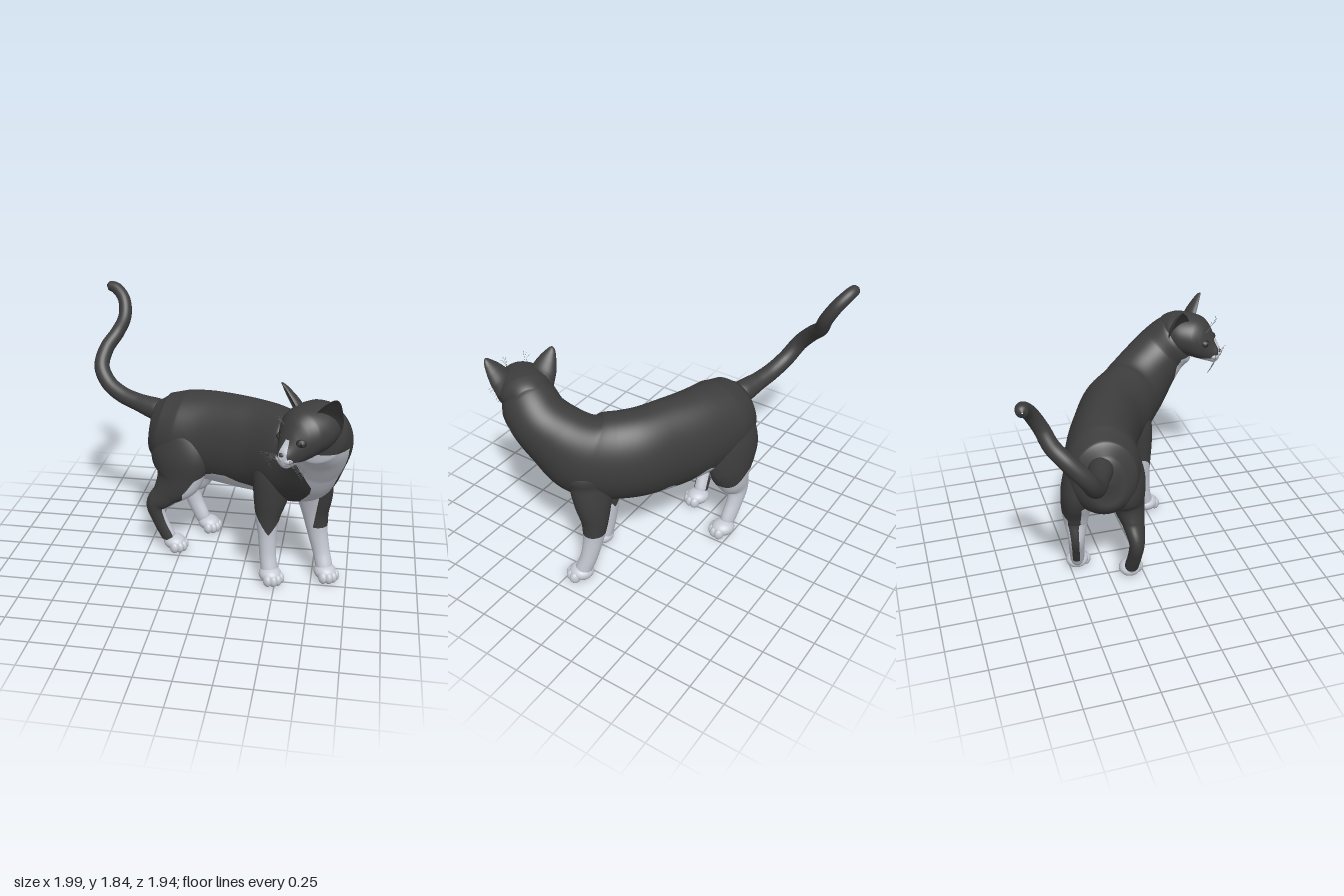
import * as THREE from 'three';

const V = (x, y, z) => new THREE.Vector3(x, y, z);
const mat = (name, color, side = THREE.FrontSide) =>
  Object.assign(new THREE.MeshStandardMaterial({ color, side }), { name });

// Linear interpolation in a list of [key, value] pairs
function lookup(table, k) {
  if (k <= table[0][0]) return table[0][1];
  for (let i = 1; i < table.length; i++) {
    const [a, va] = table[i - 1], [b, vb] = table[i];
    if (k <= b) return va + (vb - va) * (k - a) / (b - a);
  }
  return table[table.length - 1][1];
}

// Smooth skin through sections [x, y, z, halfWidth, halfDepth]; ref gives the depth direction.
// isWhite(point, normal) sorts the surface into two materials; fold < 1 cups the front side;
// axis keeps all sections parallel instead of following the path.
function loft(name, sections, ref, mats, { rows = 70, cols = 40, isWhite = () => false, fold = 1, axis } = {}) {
  const path = new THREE.CatmullRomCurve3(sections.map(s => V(s[0], s[1], s[2])));
  const size = new THREE.CatmullRomCurve3(sections.map(s => V(s[3], s[4], 0)));
  const pts = [], faces = [];
  for (let i = 0; i <= rows; i++) {
    const t = axis || path.getTangent(i / rows), c = path.getPoint(i / rows), r = size.getPoint(i / rows);
    const v = ref.clone().addScaledVector(t, -ref.dot(t)).normalize();
    const u = v.clone().cross(t);
    for (let j = 0; j < cols; j++) {
      const a = j / cols * Math.PI * 2, s = Math.sin(a);
      pts.push(c.clone().addScaledVector(u, Math.cos(a) * Math.max(r.x, 0.001))
        .addScaledVector(v, s * Math.max(r.y, 0.001) * (s > 0 ? fold : 1)));
      const k = (j + 1) % cols, p = i * cols + j, q = i * cols + k;
      if (i < rows) faces.push([p, q, p + cols], [q, q + cols, p + cols]);
    }
  }
  const g = new THREE.BufferGeometry().setFromPoints(pts).setIndex(faces.flat());
  g.computeVertexNormals();
  const normals = pts.map((p, i) => V(0, 0, 0).fromBufferAttribute(g.attributes.normal, i));
  const flags = pts.map((p, i) => isWhite(p, normals[i]));

  // Cut faces along the colour border so that it runs smoothly
  const cuts = new Map(), parts = [[], []];
  const cut = (a, b) => {
    const key = a < b ? `${a},${b}` : `${b},${a}`;
    if (!cuts.has(key)) {
      const at = (list, f) => list[a].clone().lerp(list[b], f);
      let lo = 0, hi = 1;
      for (let n = 0; n < 9; n++) {
        const mid = (lo + hi) / 2;
        if (isWhite(at(pts, mid), at(normals, mid)) === flags[a]) lo = mid; else hi = mid;
      }
      cuts.set(key, pts.push(at(pts, lo)) - 1);
      normals.push(at(normals, lo).normalize());
    }
    return cuts.get(key);
  };
  for (const f of faces) {
    const w = f.map(i => flags[i]), whites = w.filter(Boolean).length;
    if (whites % 3 === 0) { parts[whites ? 1 : 0].push(...f); continue; }
    const o = w.indexOf(whites === 1), [a, b, c] = [f[o], f[(o + 1) % 3], f[(o + 2) % 3]];
    const m = cut(a, b), n = cut(a, c);
    parts[flags[a] ? 1 : 0].push(a, m, n);
    parts[flags[a] ? 0 : 1].push(m, b, c, m, c, n);
  }
  const skin = new THREE.BufferGeometry().setFromPoints(pts).setIndex(parts.flat());
  skin.setAttribute('normal', new THREE.Float32BufferAttribute(normals.flatMap(n => n.toArray()), 3));
  skin.addGroup(0, parts[0].length, 0);
  skin.addGroup(parts[0].length, parts[1].length, 1);
  return Object.assign(new THREE.Mesh(skin, mats), { name });
}

function ball(name, material, [x, y, z], [sx, sy, sz], turn = 0) {
  const m = new THREE.Mesh(new THREE.SphereGeometry(1, 24, 16), material);
  m.name = name;
  m.position.set(x, y, z);
  m.scale.set(sx, sy, sz);
  m.rotation.y = turn;
  return m;
}

export function createModel() {
  const cat = new THREE.Group();
  cat.name = 'cat';
  const dark = mat('dark fur', 0x3d3d3d), white = mat('white fur', 0xc6cad4);
  const black = mat('pad black', 0x222222), iris = mat('iris', 0x3b3d37);
  const noseGrey = mat('nose grey', 0x4a4545), whiskerGrey = mat('whisker grey', 0x777777, THREE.DoubleSide);
  const fur = [dark, white];

  // Body and neck, with white belly, chest and throat
  const chestX = [[0.57, 0.62], [0.72, 0.67], [0.82, 0.73], [0.88, 0.74], [0.98, 0.69], [1.08, 0.63], [1.2, 0.6]];
  const chestZ = [[0.57, 0.18], [0.65, 0.24], [0.8, 0.35], [0.9, 0.41], [1, 0.45], [1.1, 0.51], [1.2, 0.57]];
  const belly = [[-0.35, 0.44], [-0.2, 0.54], [-0.13, 0.64], [0, 0.7], [0.1, 0.71], [0.2, 0.68], [0.4, 0.67], [0.6, 0.62]];
  const chest = p => p.y < 1.225 && p.x > lookup(chestX, p.y) && p.z > lookup(chestZ, p.y);
  cat.add(loft('body', [
    [-0.512, 0.95, -0.31, 0.005, 0.005], [-0.485, 0.947, -0.308, 0.13, 0.17], [-0.41, 0.93, -0.3, 0.22, 0.26],
    [-0.25, 0.905, -0.28, 0.265, 0.32], [-0.03, 0.905, -0.23, 0.25, 0.34], [0.2, 0.91, -0.14, 0.24, 0.345],
    [0.4, 0.92, -0.04, 0.24, 0.335], [0.56, 0.935, 0.1, 0.235, 0.325], [0.68, 0.99, 0.22, 0.225, 0.3],
    [0.76, 1.12, 0.36, 0.21, 0.24], [0.793, 1.235, 0.48, 0.202, 0.207], [0.77, 1.32, 0.575, 0.192, 0.2],
    [0.74, 1.37, 0.66, 0.13, 0.12], [0.72, 1.38, 0.7, 0.005, 0.005],
  ], V(0, 1, 0), fur, {
    rows: 150, cols: 80,
    isWhite: p => chest(p) || p.y < lookup(belly, p.x) + (p.z < -0.2 ? 0.035 * Math.sin(p.x * 22) - 0.02 : 0),
  }));

  // Tail
  cat.add(loft('tail', [
    [-0.4, 1.015, -0.32, 0.02], [-0.46, 1.035, -0.345, 0.085], [-0.54, 1.05, -0.37, 0.077], [-0.63, 1.068, -0.4, 0.066],
    [-0.75, 1.1, -0.44, 0.062], [-0.87, 1.17, -0.49, 0.06], [-0.938, 1.28, -0.55, 0.058], [-0.92, 1.4, -0.65, 0.056],
    [-0.855, 1.5, -0.74, 0.053], [-0.807, 1.61, -0.79, 0.05], [-0.825, 1.73, -0.855, 0.047], [-0.895, 1.8, -0.905, 0.044],
    [-0.95, 1.814, -0.918, 0.037], [-0.975, 1.816, -0.92, 0.004],
  ].map(s => [...s, s[3]]), V(0.7, 0, -0.7), fur, { rows: 90, cols: 24 }));

  // Legs
  const leg = (name, sections, isWhite) =>
    cat.add(loft(name, sections, V(0.93, 0, 0.36), fur, { isWhite }));
  leg('rightFrontLeg', [
    [0.53, 1.17, 0.12, 0.02, 0.03], [0.51, 1.07, 0.13, 0.08, 0.12], [0.485, 0.93, 0.15, 0.115, 0.16],
    [0.465, 0.8, 0.17, 0.12, 0.155],
    [0.445, 0.65, 0.19, 0.1, 0.125], [0.43, 0.5, 0.2, 0.075, 0.088], [0.432, 0.35, 0.205, 0.064, 0.066],
    [0.44, 0.2, 0.22, 0.058, 0.06], [0.455, 0.1, 0.24, 0.06, 0.06], [0.46, 0.04, 0.25, 0.03, 0.03],
  ], p => p.y < 0.38 + Math.abs(p.x - 0.445) * 1.5);
  leg('leftFrontLeg', [
    [0.63, 1.15, 0.15, 0.02, 0.03], [0.655, 1.06, 0.145, 0.09, 0.12], [0.69, 0.93, 0.14, 0.12, 0.16],
    [0.72, 0.8, 0.125, 0.12, 0.16],
    [0.745, 0.65, 0.1, 0.106, 0.135], [0.758, 0.5, 0.085, 0.088, 0.095], [0.78, 0.35, 0.09, 0.068, 0.073],
    [0.815, 0.2, 0.11, 0.058, 0.062], [0.84, 0.1, 0.14, 0.06, 0.06], [0.85, 0.04, 0.15, 0.03, 0.03],
  ], p => p.y < 0.415 || (p.y < 0.68 && p.x < 0.69 + 0.14 * p.y && p.z > 0.08) || (p.y > 0.64 && chest(p)));
  leg('rightHindLeg', [
    [-0.22, 1.13, -0.22, 0.02, 0.04], [-0.235, 1.04, -0.18, 0.09, 0.14], [-0.25, 0.92, -0.14, 0.125, 0.21],
    [-0.255, 0.78, -0.11, 0.13, 0.235], [-0.275, 0.61, -0.1, 0.11, 0.19], [-0.36, 0.48, -0.09, 0.075, 0.11],
    [-0.44, 0.38, -0.09, 0.055, 0.075], [-0.41, 0.25, -0.095, 0.05, 0.06], [-0.35, 0.12, -0.1, 0.05, 0.056],
    [-0.32, 0.05, -0.1, 0.03, 0.03],
  ], (p, n) => p.y < 0.1 || (n.x > 0.3 && p.y < 0.57 && n.z < 0.7) || (p.x > -0.22 && p.y < lookup(belly, p.x)));
  leg('leftHindLeg', [
    [-0.2, 1.13, -0.34, 0.02, 0.04], [-0.21, 1.04, -0.375, 0.09, 0.14], [-0.21, 0.92, -0.405, 0.12, 0.2],
    [-0.19, 0.78, -0.43, 0.125, 0.225], [-0.17, 0.61, -0.45, 0.11, 0.19], [-0.19, 0.48, -0.465, 0.085, 0.13],
    [-0.24, 0.37, -0.475, 0.06, 0.088], [-0.21, 0.25, -0.47, 0.054, 0.065], [-0.15, 0.12, -0.455, 0.05, 0.06],
    [-0.13, 0.05, -0.45, 0.03, 0.03],
  ], (p, n) => (p.y < 0.53 + 0.05 * Math.sin(p.x * 20) && !(n.x < -0.55 && p.y > 0.14)) || (n.z > 0.3 && p.y < 0.68));

  // Paws with four toes and dark pads
  const paw = (name, x, z, turn) => {
    const g = new THREE.Group();
    g.name = name;
    g.position.set(x, 0, z);
    g.rotation.y = turn;
    g.add(ball('foot', white, [0, 0.072, 0], [0.08, 0.058, 0.088]));
    g.add(ball('mainPad', black, [0, 0.022, 0], [0.032, 0.012, 0.026]));
    [-0.052, -0.018, 0.018, 0.052].forEach((tx, i) => {
      const tz = i % 3 ? 0.068 : 0.047;
      g.add(ball('toe', white, [tx, 0.052, tz], [0.029, 0.044, 0.038]));
      g.add(ball('toePad', black, [tx, 0.016, tz], [0.011, 0.01, 0.013]));
    });
    cat.add(g);
  };
  paw('rightFrontPaw', 0.465, 0.26, 0.65);
  paw('leftFrontPaw', 0.85, 0.155, 0.65);
  paw('rightHindPaw', -0.3, -0.1, 0.95);
  paw('leftHindPaw', -0.095, -0.445, 0.85);

  // Head, turned to the cat's right
  const head = new THREE.Group();
  head.name = 'head';
  head.position.set(0.72, 1.375, 0.66);
  head.rotation.y = -0.6435;
  cat.add(head);
  head.add(loft('skull', [
    [0, 0.02, -0.24, 0.005, 0.005], [0, 0.025, -0.21, 0.1, 0.09], [0, 0.02, -0.12, 0.165, 0.138],
    [0, 0.005, -0.02, 0.184, 0.155], [0, -0.012, 0.08, 0.166, 0.157], [0, -0.04, 0.14, 0.128, 0.145],
    [0, -0.078, 0.185, 0.09, 0.115], [0, -0.11, 0.22, 0.064, 0.08], [0, -0.122, 0.248, 0.044, 0.052],
    [0, -0.124, 0.262, 0.004, 0.004],
  ], V(0, 1, 0), fur, {
    rows: 90, cols: 64, axis: V(0, 0, 1),
    isWhite: p => p.y < -0.148 || (p.z > 0.14 && p.y < -0.01 && Math.abs(p.x - 0.008) < 0.012 - 0.2 * p.y),
  }));
  head.add(ball('nose', noseGrey, [0, -0.1, 0.25], [0.02, 0.015, 0.015]));
  head.add(ball('chin', white, [0, -0.172, 0.205], [0.04, 0.026, 0.04]));

  const strand = (name, a, b, c) => {
    const m = new THREE.Mesh(new THREE.TubeGeometry(new THREE.QuadraticBezierCurve3(a, b, c), 8, 0.001, 3), whiskerGrey);
    m.name = name;
    head.add(m);
  };
  for (const s of [-1, 1]) {
    // Cupped ears, turned outward
    head.add(loft(s > 0 ? 'leftEar' : 'rightEar', [
      [s * 0.118, 0.04, -0.03, 0.092, 0.06], [s * 0.148, 0.11, -0.015, 0.086, 0.056], [s * 0.18, 0.17, 0, 0.064, 0.042],
      [s * 0.207, 0.22, 0.012, 0.037, 0.025], [s * 0.219, 0.245, 0.02, 0.018, 0.013], [s * 0.223, 0.255, 0.022, 0.002, 0.002],
    ], V(s * 0.6, 0, 0.8), fur, { rows: 30, cols: 32, fold: -0.45 }));
    // Eyes
    head.add(ball('eyeRim', black, [s * 0.083, -0.024, 0.166], [0.036, 0.029, 0.024], s * 0.7));
    head.add(ball('eye', iris, [s * 0.085, -0.024, 0.169], [0.031, 0.024, 0.025], s * 0.7));
    head.add(ball('pupil', black, [s * 0.096, -0.024, 0.183], [0.008, 0.016, 0.009], s * 0.7));
    // Muzzle and whiskers
    head.add(ball('whiskerPad', white, [s * 0.028, -0.136, 0.222], [0.036, 0.027, 0.034]));
    for (let i = 0; i < 7; i++) {
      const y = -0.12 - 0.005 * i;
      strand('whisker', V(s * 0.04, y, 0.235), V(s * 0.12, y + 0.01, 0.27),
        V(s * (0.2 - 0.012 * i), -0.14 - 0.017 * i, 0.25 - 0.008 * i));
    }
    for (let i = 0; i < 3; i++)
      strand('browWhisker', V(s * 0.06, 0.03, 0.14), V(s * 0.065, 0.1, 0.2), V(s * (0.06 + 0.02 * i), 0.15 - 0.02 * i, 0.2));
  }
  return cat;
}
